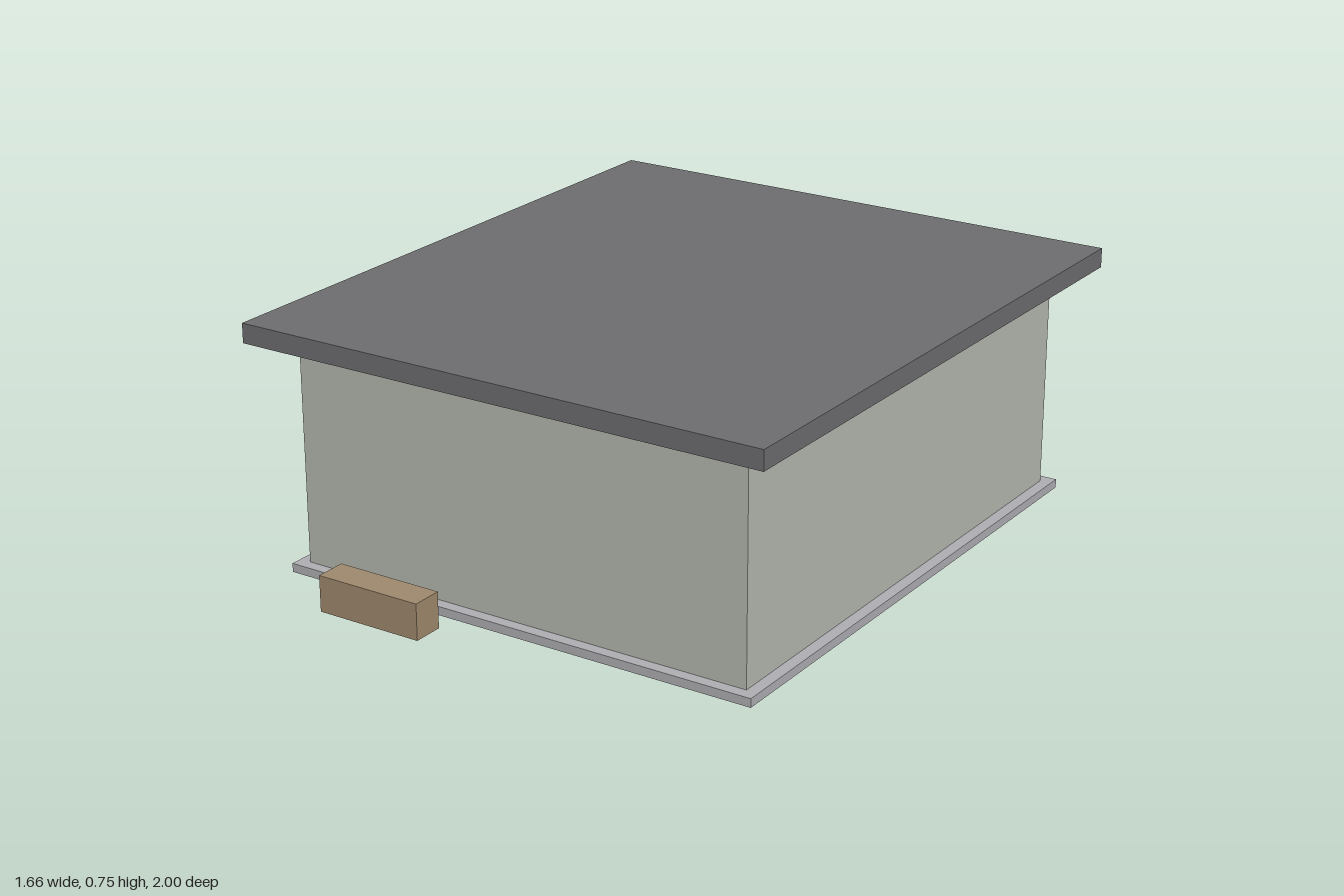
import * as THREE from 'three';

// Box given by its extents on each axis
function slab(name, color, [x0, x1], [y0, y1], [z0, z1]) {
  const mesh = new THREE.Mesh(
    new THREE.BoxGeometry(x1 - x0, y1 - y0, z1 - z0),
    new THREE.MeshStandardMaterial({ color })
  );
  mesh.position.set((x0 + x1) / 2, (y0 + y1) / 2, (z0 + z1) / 2);
  mesh.name = name;
  return mesh;
}

export function createModel() {
  const group = new THREE.Group();
  group.name = 'flatRoofBuilding';
  group.add(
    // Thin foundation, slightly wider than the walls
    slab('foundation', 0xb0b0b4, [-0.755, 0.755], [0, 0.026], [-0.925, 0.8]),
    // Plain wall block
    slab('walls', 0xb4b9b0, [-0.72, 0.72], [0.026, 0.687], [-0.89, 0.765]),
    // Overhanging flat roof
    slab('roof', 0x6e6e70, [-0.828, 0.828], [0.687, 0.745], [-1, 0.87]),
    // Free-standing bench in front
    slab('bench', 0xa08a6e, [-0.485, -0.156], [0.026, 0.133], [0.907, 1])
  );
  return group;
}
